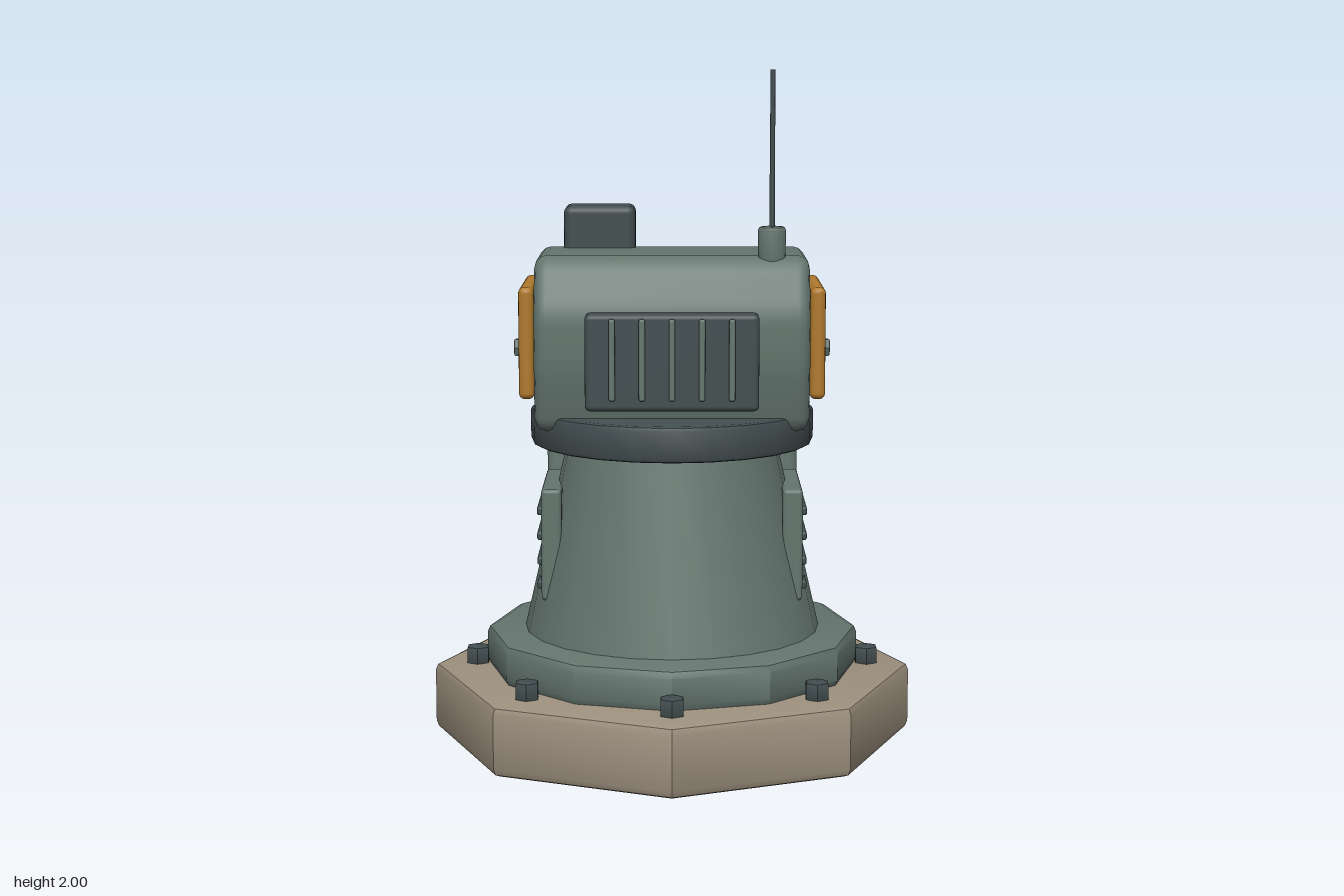
import * as THREE from 'three';
import { toCreasedNormals } from 'three/addons/utils/BufferGeometryUtils.js';
import { RoundedBoxGeometry } from 'three/addons/geometries/RoundedBoxGeometry.js';

const paint = (name, color) => Object.assign(new THREE.MeshStandardMaterial({ color }), { name });

export function createModel() {
  const green = paint('grey green paint', 0x64756e);
  const dark = paint('dark steel', 0x424d4f);
  const tan = paint('concrete tan', 0x9c8f7d);
  const amber = paint('amber paint', 0xb07a2c);

  const model = new THREE.Group();
  model.name = 'sentryTurret';

  const add = (name, geometry, material, x = 0, y = 0, z = 0, parent = model) => {
    const mesh = new THREE.Mesh(geometry, material);
    mesh.name = name;
    mesh.position.set(x, y, z);
    parent.add(mesh);
    return mesh;
  };
  const box = (w, h, d, r = 0.01) => new RoundedBoxGeometry(w, h, d, 2, r);

  // Turned part from [radius, height] pairs, bottom to top
  const turned = (pairs, sides, crease = 0.5) =>
    toCreasedNormals(new THREE.LatheGeometry(pairs.map(([r, y]) => new THREE.Vector2(r, y)), sides), crease);
  // Solid disc with softened rims
  const disc = (r0, r1, y0, y1, b, sides, crease) =>
    turned([[0, y0], [r0 - b, y0], [r0 - b * 0.3, y0 + b * 0.3], [r0, y0 + b], [r1, y1 - b],
      [r1 - b * 0.3, y1 - b * 0.3], [r1 - b, y1], [0, y1]], sides, crease);

  // Side profile of [z, y] points with rounded corners, extruded across x
  const sideProfile = (points, width, bevel, round) => {
    const p = points.map(([z, y]) => new THREE.Vector2(z, y));
    const shape = new THREE.Shape();
    p.forEach((c, i) => {
      const prev = p[(i + p.length - 1) % p.length];
      const next = p[(i + 1) % p.length];
      const a = c.clone().add(prev.clone().sub(c).setLength(round));
      const b = c.clone().add(next.clone().sub(c).setLength(round));
      if (i === 0) shape.moveTo(a.x, a.y);
      else shape.lineTo(a.x, a.y);
      shape.quadraticCurveTo(c.x, c.y, b.x, b.y);
    });
    shape.closePath();
    const geometry = new THREE.ExtrudeGeometry(shape, {
      depth: width - 2 * bevel, bevelThickness: bevel, bevelSize: bevel,
      bevelOffset: -bevel, bevelSegments: 3, curveSegments: 4,
    });
    geometry.translate(0, 0, bevel - width / 2).rotateY(-Math.PI / 2);
    return toCreasedNormals(geometry, 0.6);
  };

  // Footing, flange and bolts
  add('footing', disc(0.72, 0.72, 0, 0.21, 0.025, 8), tan);
  add('flange', disc(0.56, 0.56, 0.2, 0.33, 0.025, 12), green);
  for (let i = 0; i < 8; i++) {
    const a = (i * Math.PI) / 4;
    add('anchorBolt', disc(0.037, 0.037, 0.2, 0.26, 0.006, 6), dark, 0.59 * Math.sin(a), 0, 0.59 * Math.cos(a));
  }

  // Pedestal and turning ring
  add('pedestal', turned([[0.446, 0.32], [0.31, 0.91]], 24), green);
  add('turningRing', disc(0.423, 0.423, 0.895, 1.0, 0.012, 24), dark);

  // Louvre panels on both pedestal sides
  for (const s of [1, -1]) {
    add('louvrePanel', box(0.06, 0.335, 0.365, 0.012), green, s * 0.356, 0.608, 0);
    for (const y of [0.705, 0.63, 0.555, 0.483])
      add('louvreSlat', box(0.04, 0.026, 0.3, 0.008), dark, s * 0.38, y, 0);
  }

  // Head housing
  add('head', sideProfile([[0.245, 0.955], [-0.245, 0.955], [-0.31, 1.17], [-0.235, 1.325], [-0.19, 1.465],
    [0.2, 1.465], [0.28, 1.31], [0.28, 1.15]], 0.8, 0.035, 0.045), green);

  // Front grille
  add('grillePanel', box(0.5, 0.28, 0.09, 0.015), dark, 0, 1.17, 0.285);
  for (let i = -2; i <= 2; i++)
    add('grilleSlat', box(0.018, 0.235, 0.03, 0.006), green, i * 0.086, 1.18, 0.332);

  // Side armour plates with bolts
  for (const s of [1, -1]) {
    add('sidePlate', box(0.045, 0.328, 0.4, 0.018), amber, s * 0.423, 1.213, 0.024);
    for (const z of [0.155, -0.09]) {
      const bolt = add('plateBolt', disc(0.028, 0.028, -0.02, 0.02, 0.005, 6), green, s * 0.441, 1.195, z);
      bolt.rotation.z = -s * Math.PI / 2;
      bolt.scale.z = 0.65;
    }
  }

  // Sighting unit on top
  add('sightBox', box(0.215, 0.2, 0.155, 0.022), dark, -0.218, 1.49, -0.168);
  add('sightFrame', box(0.135, 0.085, 0.03, 0.008), dark, -0.218, 1.5, -0.247);
  add('sightWindow', box(0.1, 0.055, 0.008, 0.003), dark, -0.218, 1.5, -0.264);

  // Antenna
  const antennaBase = add('antennaBase', disc(0.04, 0.04, 1.43, 1.55, 0.01, 16), green, 0.29, 0, 0.17);
  antennaBase.scale.z = 0.75;
  add('antennaRod', new THREE.CylinderGeometry(0.007, 0.008, 0.47, 8), dark, 0.29, 1.765, 0.17);

  // Small pads on the rear slope
  for (const s of [1, -1]) {
    const pad = add('rearPad', box(0.125, 0.075, 0.03, 0.008), green, s * 0.253, 1.325, -0.235);
    pad.rotation.x = 0.4;
  }

  // Barrel, pointing backwards
  const barrel = new THREE.Group();
  barrel.name = 'barrel';
  barrel.position.y = 1.19;
  barrel.scale.x = 0.88;
  model.add(barrel);
  const along = (name, geometry, material) => add(name, geometry.rotateX(-Math.PI / 2), material, 0, 0, 0, barrel);
  along('mantlet', disc(0.16, 0.16, 0.16, 0.24, 0.01, 24), green);
  along('barrelSleeve', disc(0.122, 0.122, 0.22, 0.41, 0.012, 20), dark);
  along('barrelStep', disc(0.096, 0.085, 0.4, 0.46, 0.008, 20), green);
  along('barrelCollar', disc(0.102, 0.102, 0.452, 0.477, 0.006, 20), dark);
  along('barrelTube', disc(0.07, 0.07, 0.46, 0.6, 0.005, 20), green);
  along('muzzle', turned([[0.06, 0.575], [0.095, 0.575], [0.103, 0.585], [0.103, 0.682], [0.095, 0.692],
    [0.06, 0.692], [0.052, 0.684], [0.052, 0.61], [0, 0.61]], 20), dark);

  // Rear shield with amber stripe
  add('shield', sideProfile([[-0.455, 0.305], [-0.597, 0.305], [-0.618, 1.08], [-0.49, 1.18]],
    0.8, 0.022, 0.025), green);
  add('shieldStripe', box(0.63, 0.105, 0.03, 0.008), amber, 0, 0.817, -0.62);

  return model;
}
